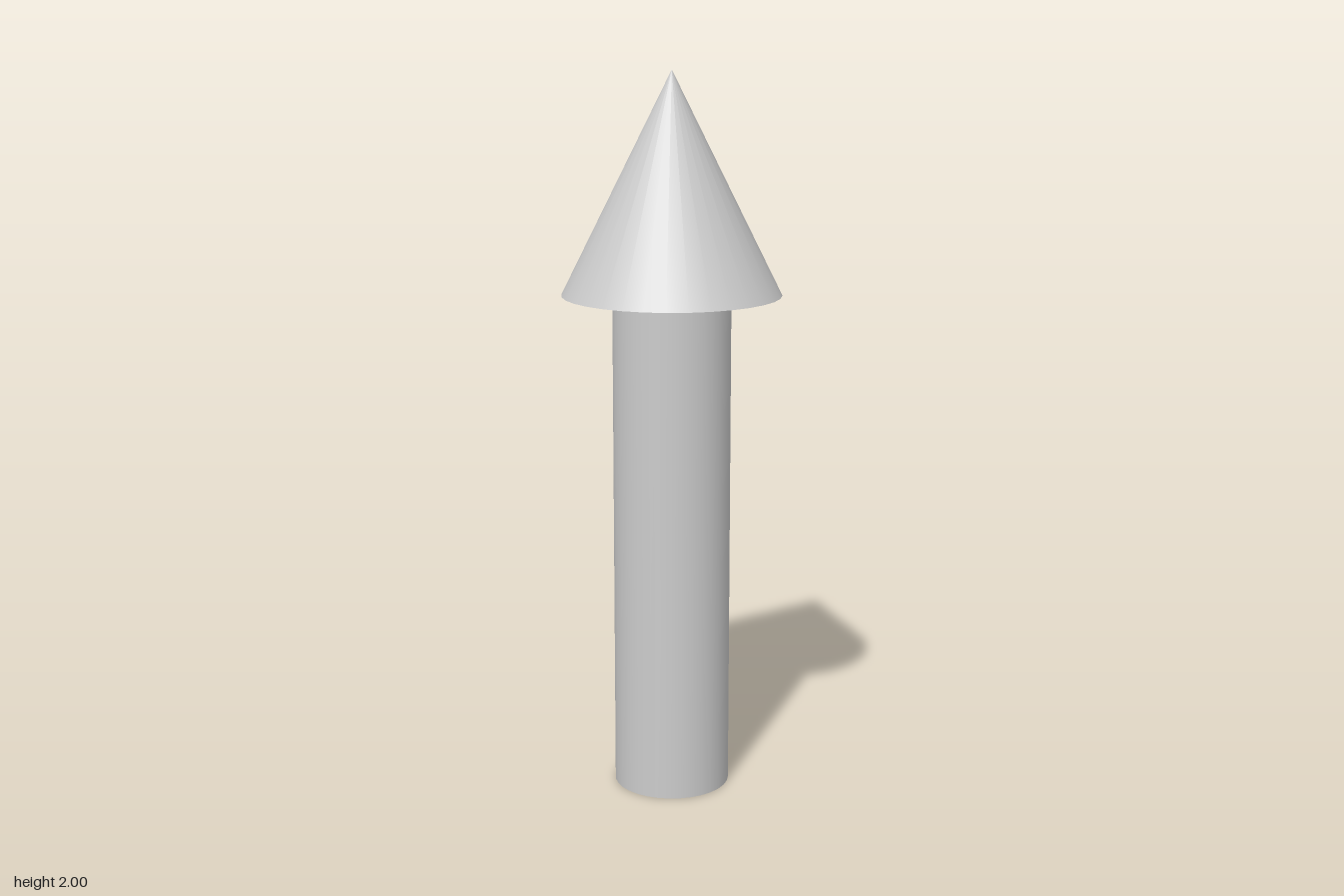
import * as THREE from 'three';

const SEGMENTS = 32;
const SHAFT_HEIGHT = 1.4;
const HEAD_HEIGHT = 0.6;

export function createModel() {
  const group = new THREE.Group();
  group.name = 'upArrow';
  const material = new THREE.MeshStandardMaterial({ color: 0xcccccc });

  // Adds a part whose base rests at the given height
  const addPart = (name, geometry, height, base) => {
    const mesh = new THREE.Mesh(geometry, material);
    mesh.name = name;
    mesh.position.y = base + height / 2;
    group.add(mesh);
  };

  // Straight round shaft, closed at both ends
  addPart('shaft', new THREE.CylinderGeometry(0.162, 0.162, SHAFT_HEIGHT, SEGMENTS), SHAFT_HEIGHT, 0);

  // Pointed head with a flat underside
  addPart('arrowHead', new THREE.ConeGeometry(0.3, HEAD_HEIGHT, SEGMENTS), HEAD_HEIGHT, SHAFT_HEIGHT);

  return group;
}
